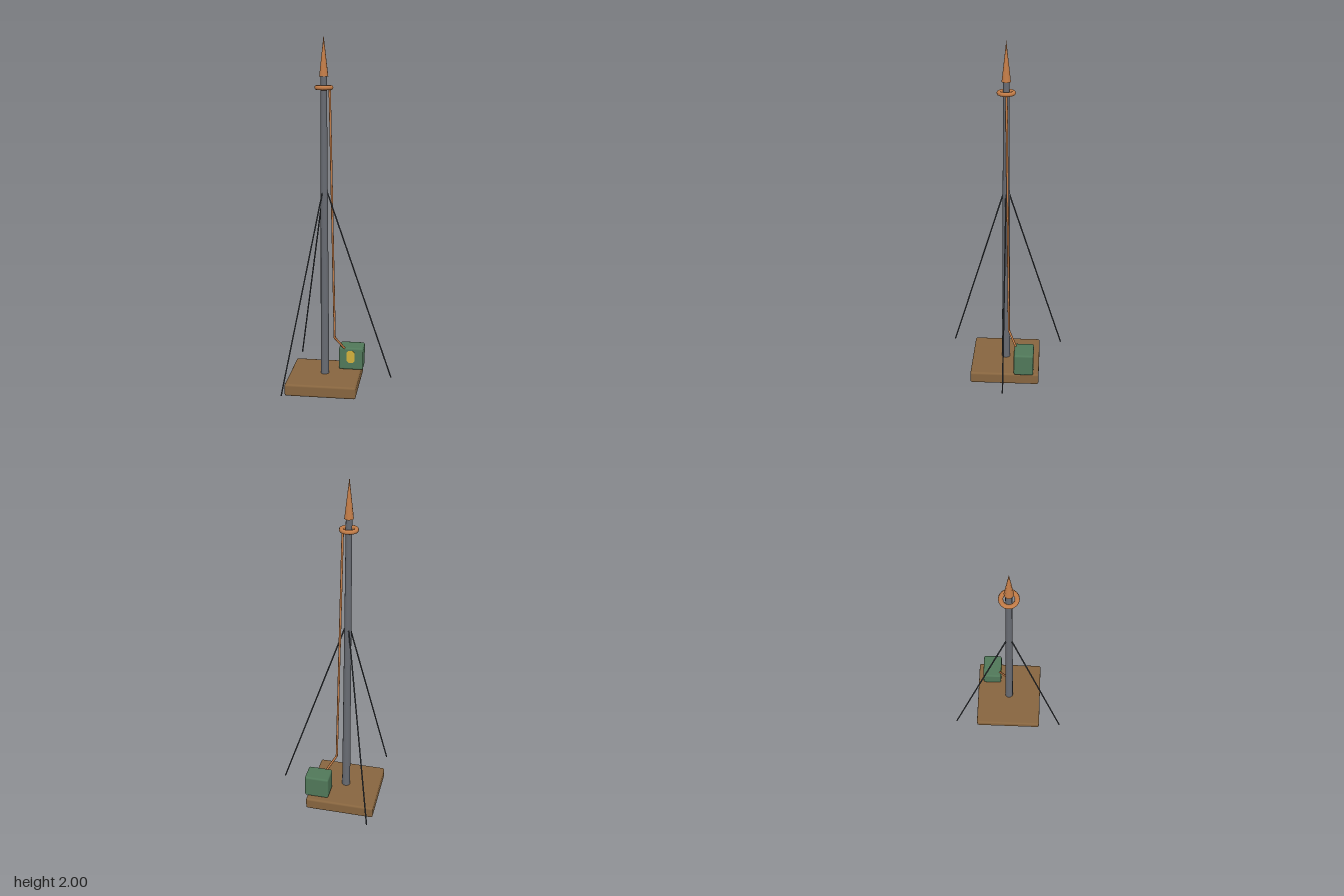
import * as THREE from 'three';
import { RoundedBoxGeometry } from 'three/addons/geometries/RoundedBoxGeometry.js';

const mat = (name, color) => {
  const m = new THREE.MeshStandardMaterial({ color });
  m.name = name;
  return m;
};

export function createModel() {
  const brown = mat('wood brown', 0x87653f);
  const steel = mat('steel grey', 0x686b72);
  const dark = mat('cable grey', 0x42464c);
  const copper = mat('copper', 0xc47d48);
  const green = mat('box green', 0x507859);
  const yellow = mat('warning yellow', 0xd2b03c);

  const model = new THREE.Group();
  model.name = 'lightningMast';
  const mx = -0.094, mz = -0.003; // mast axis

  const add = (name, geometry, material, x = 0, y = 0, z = 0) => {
    const mesh = new THREE.Mesh(geometry, material);
    mesh.name = name;
    mesh.position.set(x, y, z);
    model.add(mesh);
    return mesh;
  };
  // straight round bar between two points
  const rod = (name, a, b, radius, material) => {
    const dir = b.clone().sub(a);
    const mesh = add(name, new THREE.CylinderGeometry(radius, radius, dir.length(), 8), material);
    mesh.position.copy(a).add(b).multiplyScalar(0.5);
    mesh.quaternion.setFromUnitVectors(new THREE.Vector3(0, 1, 0), dir.normalize());
  };

  // base slab
  add('base', new RoundedBoxGeometry(0.406, 0.07, 0.406, 2, 0.012), brown, mx, 0.035, mz);

  // tapered mast, collar ring and pointed tip
  add('mast', new THREE.CylinderGeometry(0.017, 0.025, 1.73, 12), steel, mx, 0.925, mz);
  add('collar', new THREE.TorusGeometry(0.04, 0.0125, 8, 16).rotateX(Math.PI / 2), copper, mx, 1.72, mz);
  add('tip', new THREE.ConeGeometry(0.025, 0.22, 10), copper, mx, 1.89, mz);

  // three guy wires
  for (let i = 0; i < 3; i++) {
    const a = (i * Math.PI * 2) / 3;
    const at = (r, y) => new THREE.Vector3(mx + Math.cos(a) * r, y, mz + Math.sin(a) * r);
    rod('guyWire', at(0.018, 1.14), at(0.386, 0.06), 0.004, dark);
  }

  // down conductor from collar to box
  const path = [[-0.062, 1.715, -0.006], [-0.039, 0.28, -0.023], [0.016, 0.195, -0.07]]
    .map((p) => new THREE.Vector3(...p));
  rod('downConductor', path[0], path[1], 0.0065, copper);
  rod('downConductor', path[1], path[2], 0.0065, copper);
  add('conductorElbow', new THREE.SphereGeometry(0.0065, 8, 6), copper, ...path[1].toArray());

  // junction box with front badge
  add('junctionBox', new RoundedBoxGeometry(0.143, 0.134, 0.115, 2, 0.011), green, 0.051, 0.138, -0.1165);
  const w = 0.024, h = 0.037, c = 0.012;
  const outline = [[-w, -h + c], [-w + c, -h], [w - c, -h], [w, -h + c], [w, h - c], [w - c, h], [-w + c, h], [-w, h - c]];
  const badge = new THREE.Shape(outline.map(([x, y]) => new THREE.Vector2(x, y)));
  add('badge', new THREE.ExtrudeGeometry(badge, { depth: 0.005, bevelEnabled: false }), yellow, 0.05, 0.152, -0.061);

  return model;
}
